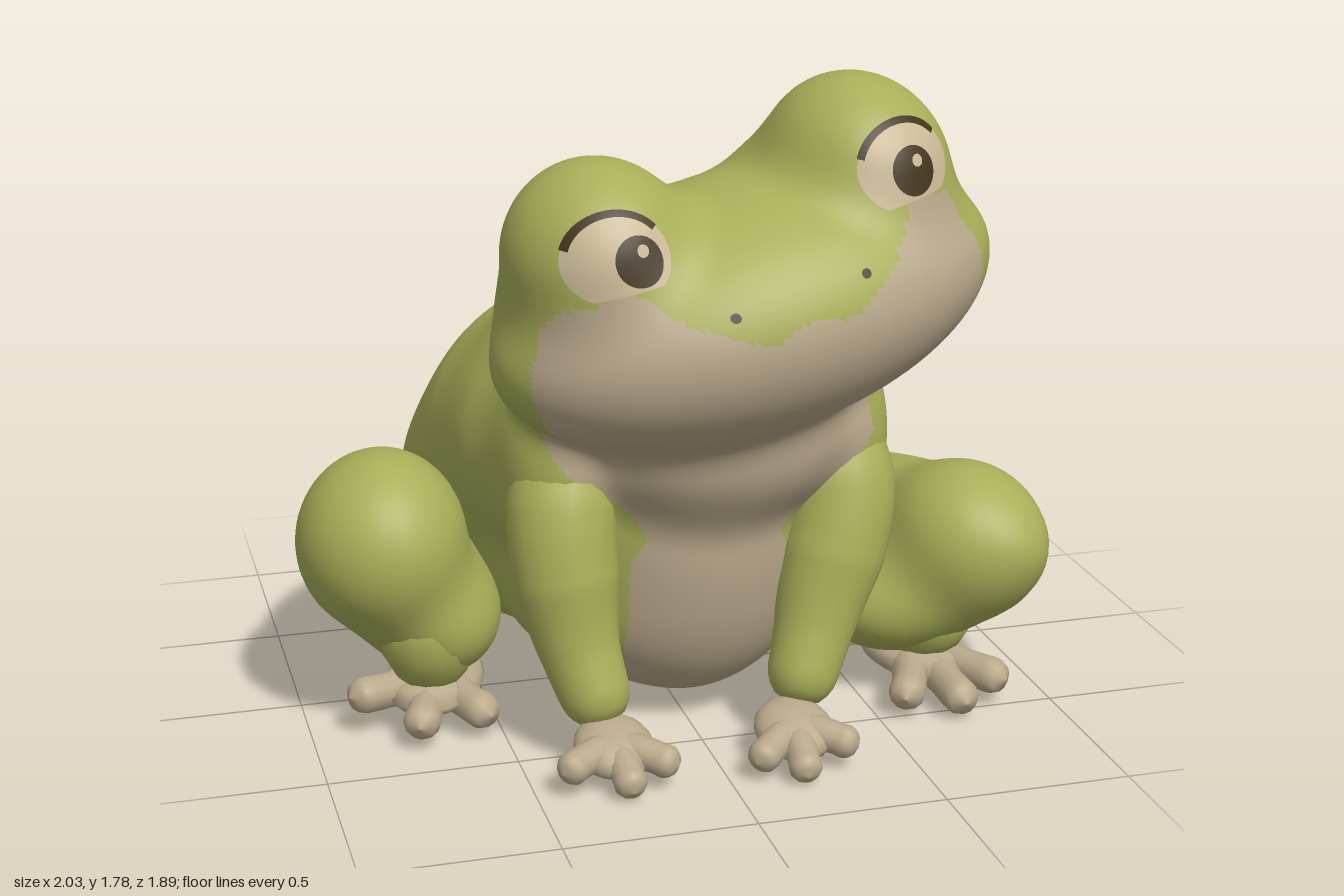
import * as THREE from 'three';
import { mergeVertices } from 'three/addons/utils/BufferGeometryUtils.js';

const V = (x, y, z) => new THREE.Vector3(x, y, z);
const mat = (name, color, side = THREE.FrontSide) =>
  Object.assign(new THREE.MeshStandardMaterial({ color, side }), { name });

// Tilted head frame
const headFrame = new THREE.Matrix4().compose(V(0.1, 1.22, 0.5),
  new THREE.Quaternion().setFromEuler(new THREE.Euler(0, 0.12, 0.22, 'YZX')), V(1, 1, 1));
const headInverse = headFrame.clone().invert();

// Ellipsoid distance field, optionally rotated or placed in a parent frame
function ellipsoid(c, r, rot = [0, 0, 0], frame = null) {
  const m = new THREE.Matrix4().compose(V(...c),
    new THREE.Quaternion().setFromEuler(new THREE.Euler(rot[0], rot[1], rot[2], 'YXZ')), V(1, 1, 1));
  if (frame) m.premultiply(frame);
  m.invert();
  const q = V(), radii = V(...r);
  return (p) => {
    q.copy(p).applyMatrix4(m).divide(radii);
    const k0 = q.length(), k1 = q.divide(radii).length();
    return k1 < 1e-6 ? -Math.min(...r) : k0 * (k0 - 1) / k1;
  };
}

// Smooth union of several fields
const blend = (fields, k) => (p) => {
  let d = fields[0](p);
  for (let i = 1; i < fields.length; i++) {
    const e = fields[i](p), h = Math.max(k - Math.abs(d - e), 0) / k;
    d = Math.min(d, e) - h * h * k * 0.25;
  }
  return d;
};

// Sphere whose vertices are pushed out along rays onto a field's surface
function blobGeometry(field, centre, w, h) {
  let g = new THREE.SphereGeometry(1, w, h);
  g.deleteAttribute('uv');
  g.deleteAttribute('normal');
  g = mergeVertices(g);
  const pos = g.attributes.position, c = V(...centre), dir = V(), p = V();
  for (let i = 0; i < pos.count; i++) {
    dir.fromBufferAttribute(pos, i).normalize();
    let lo = 0, hi = 1.8;
    for (let n = 0; n < 20; n++) {
      const mid = (lo + hi) / 2;
      if (field(p.copy(c).addScaledVector(dir, mid)) < 0) lo = mid; else hi = mid;
    }
    p.copy(c).addScaledVector(dir, lo);
    pos.setXYZ(i, p.x, p.y, p.z);
  }
  g.computeVertexNormals();
  return g;
}

// Sort faces into two material groups by a rule on the face centre
function paint(g, rule) {
  const idx = g.index.array, pos = g.attributes.position, sets = [[], []], p = V(), q = V();
  for (let i = 0; i < idx.length; i += 3) {
    p.set(0, 0, 0);
    for (let j = 0; j < 3; j++) p.add(q.fromBufferAttribute(pos, idx[i + j]));
    sets[rule(p.divideScalar(3)) ? 1 : 0].push(idx[i], idx[i + 1], idx[i + 2]);
  }
  g.setIndex([...sets[0], ...sets[1]]);
  g.addGroup(0, sets[0].length, 0);
  g.addGroup(sets[0].length, sets[1].length, 1);
  return g;
}

// Round-ended tube with a varying radius
function limbGeometry(points, radii, n = 28, sides = 16) {
  const curve = new THREE.CatmullRomCurve3(points.map((p) => V(...p)));
  let g = new THREE.TubeGeometry(curve, n, 1, sides);
  const pos = g.attributes.position, len = curve.getLength(), p = V();
  for (let i = 0; i <= n; i++) {
    const t = i / n, c = curve.getPointAt(t), s = t * (radii.length - 1);
    const a = Math.min(Math.floor(s), radii.length - 2);
    const r = THREE.MathUtils.lerp(radii[a], radii[a + 1], s - a);
    const e = Math.min(1, Math.min(t, 1 - t) * len / r);
    const rad = Math.max(r * Math.sqrt(1 - (1 - e) ** 2), 0.001);
    for (let j = 0; j <= sides; j++) {
      const k = i * (sides + 1) + j;
      p.fromBufferAttribute(pos, k).sub(c).multiplyScalar(rad).add(c);
      pos.setXYZ(k, p.x, p.y, p.z);
    }
  }
  g.deleteAttribute('uv');
  g.deleteAttribute('normal');
  g = mergeVertices(g, 1e-5);
  g.computeVertexNormals();
  return g;
}

// Thin patch laid on the face: polar grid projected backwards onto the field
function decalGeometry(field, at, lift, { r0 = 0, a0 = 0, a1 = Math.PI * 2, rx, ry, floor = -1 }) {
  const nr = 8, na = 36, pts = [], idx = [], p = V();
  for (let i = 0; i <= nr; i++) for (let j = 0; j <= na; j++) {
    const r = r0 + (1 - r0) * i / nr, a = a0 + (a1 - a0) * j / na;
    const x = at[0] + rx * r * Math.cos(a), y = at[1] + ry * r * Math.max(Math.sin(a), floor);
    let z = 0.7;
    for (let n = 0; n < 60; n++) z -= 0.6 * field(p.set(x, y, z).applyMatrix4(headFrame));
    p.set(x, y, z + lift).applyMatrix4(headFrame);
    pts.push(p.x, p.y, p.z);
    if (i < nr && j < na) {
      const k = i * (na + 1) + j, m = k + na + 1;
      idx.push(k, m, m + 1, k, m + 1, k + 1);
    }
  }
  const g = new THREE.BufferGeometry();
  g.setAttribute('position', new THREE.Float32BufferAttribute(pts, 3));
  g.setIndex(idx);
  g.computeVertexNormals();
  return g;
}

export function createModel() {
  const green = mat('skin green', 0xa9ae58), cream = mat('belly cream', 0xbaa98b);
  const eyeCream = mat('eye cream', 0xcbb996, THREE.DoubleSide);
  const dark = mat('dark brown', 0x43351c, THREE.DoubleSide);
  const root = new THREE.Group();
  const add = (name, geo, material, parent = root) => {
    const m = new THREE.Mesh(geo, material);
    m.name = name;
    parent.add(m);
    return m;
  };
  const group = (name) => {
    const g = new THREE.Group();
    g.name = name;
    root.add(g);
    return g;
  };

  // Head and torso as one smooth skin
  const skin = blend([
    ellipsoid([-0.015, 0.49, -0.38], [0.62, 0.475, 0.56]), // rump
    ellipsoid([-0.01, 0.68, -0.2], [0.59, 0.46, 0.55], [-0.25, 0, 0]), // back
    ellipsoid([0, 0.76, 0.06], [0.565, 0.46, 0.42]), // ribs
    ellipsoid([0.02, 0.98, 0.06], [0.44, 0.3, 0.42], [-0.45, 0, 0]), // nape
    ellipsoid([0, 0.36, 0.05], [0.45, 0.31, 0.4]), // belly
    ellipsoid([0.03, 0.58, 0.24], [0.35, 0.5, 0.3]), // chest
    ellipsoid([0.4, 0.8, 0.32], [0.15, 0.3, 0.2]), // shoulders
    ellipsoid([-0.35, 0.78, 0.32], [0.15, 0.3, 0.2]),
    ellipsoid([0.07, 1.13, 0.28], [0.46, 0.28, 0.26], [0, 0, 0.15]), // neck
    ellipsoid([0.06, 0.87, 0.45], [0.34, 0.25, 0.21]), // throat
    ellipsoid([0, 0, 0], [0.675, 0.325, 0.445], [0, 0, 0], headFrame), // face
    ellipsoid([-0.355, 0.235, 0.02], [0.24, 0.255, 0.27], [0, 0, 0], headFrame), // brows
    ellipsoid([0.355, 0.235, 0.02], [0.24, 0.265, 0.28], [0, 0, 0], headFrame),
    ellipsoid([-0.3, 0.08, -0.14], [0.27, 0.25, 0.23], [0, 0, 0], headFrame), // back of head
    ellipsoid([0.3, 0.1, -0.14], [0.27, 0.25, 0.25], [0, 0, 0], headFrame),
  ], 0.09);
  const q = V(), step = THREE.MathUtils.smoothstep;
  const isCream = (p) => {
    q.copy(p).applyMatrix4(headInverse);
    const ax = Math.abs(q.x);
    // Lip line: low in the middle, high over the cheeks
    const lip = 0.05 + 0.17 * step(ax, 0.14, 0.42) - 0.12 * step(ax, 0.5, 0.64) + 0.012 * Math.cos(q.x * 32);
    if (p.y > 0.95) return q.y < lip && q.z > 0.15 + 0.1 * step(q.x, -0.5, 0.5) - 0.07 * step(-q.y, 0, 0.25);
    if (p.y > 0.14) return p.z > 0.3 + 0.2 * step(p.y, 0.3, 0.6) && Math.abs(p.x - 0.03) < 0.22 + 0.26 * step(p.y, 0.55, 0.95);
    return (p.x / 0.3) ** 2 + (p.z / 0.46) ** 2 < 1;
  };
  add('headAndBody', paint(blobGeometry(skin, [0.04, 0.98, 0.12], 220, 160), isCream), [green, cream]);

  // Eyes and nostrils
  const eyes = [
    { name: 'rightEye', x: -0.385, px: -0.34, s: -1 },
    { name: 'leftEye', x: 0.385, px: 0.395, s: 1 },
  ];
  for (const { name, x, px, s } of eyes) {
    const g = group(name);
    const patch = (part, at, lift, m, o) => add(part, decalGeometry(skin, at, lift, o), m, g);
    patch('eyeWhite', [x, 0.3], 0.004, eyeCream, { rx: 0.13, ry: 0.105, floor: -0.75 });
    patch('upperLid', [x, 0.3], 0.006, dark,
      { rx: 0.132, ry: 0.115, r0: 0.87, a0: 0.15 * Math.PI, a1: 0.85 * Math.PI });
    patch('pupil', [px, 0.29], 0.007, dark, { rx: 0.06, ry: 0.06 });
    patch('glint', [px + 0.015, 0.312], 0.009, eyeCream, { rx: 0.015, ry: 0.015 });
    patch('nostril', [s * 0.175, 0.12], 0.004, dark, { rx: 0.013, ry: 0.011 });
  }

  // Folded hind legs (thigh, knee, hip, calf), the right knee raised higher
  const legs = [
    { name: 'leftHindLeg', centre: [0.72, 0.38, 0.12], parts: [
      [[0.75, 0.4, 0.08], [0.19, 0.19, 0.5], [-0.15, 0.3, 0]], [[0.79, 0.44, 0.34], [0.2, 0.215, 0.21]],
      [[0.57, 0.3, -0.2], [0.26, 0.2, 0.46], [-0.1, 0.6, 0]], [[0.62, 0.27, 0.2], [0.22, 0.16, 0.25]]],
      shin: [[0.74, 0.34, 0.34], [0.7, 0.23, 0.3], [0.68, 0.11, 0.2]],
      heel: [0.67, 0.1, 0.05], sole: [0.69, 0.1, 0.24], yaw: 0.1,
      toes: [[0.86, 0.095, 0.52], [0.72, 0.07, 0.59], [0.56, 0.08, 0.54]] },
    { name: 'rightHindLeg', centre: [-0.72, 0.42, -0.08], parts: [
      [[-0.74, 0.43, -0.16], [0.2, 0.22, 0.5], [-0.3, -0.27, 0]], [[-0.775, 0.53, 0.15], [0.215, 0.245, 0.25]],
      [[-0.56, 0.3, -0.4], [0.26, 0.22, 0.42], [-0.2, -0.6, 0]], [[-0.64, 0.3, 0.08], [0.18, 0.17, 0.25]]],
      shin: [[-0.72, 0.42, 0.18], [-0.68, 0.27, 0.2], [-0.65, 0.12, 0.12]],
      heel: [-0.59, 0.11, -0.06], sole: [-0.65, 0.11, 0.12], yaw: -0.3,
      toes: [[-0.9, 0.13, 0.24], [-0.74, 0.09, 0.4], [-0.54, 0.09, 0.37]] },
  ];
  for (const l of legs) {
    const g = group(l.name);
    add('thigh', blobGeometry(blend(l.parts.map((e) => ellipsoid(...e)), 0.12), l.centre, 64, 48), green, g);
    add('ankle', limbGeometry(l.shin, [0.15, 0.13, 0.09]), green, g);
    add('sole', blobGeometry(ellipsoid(l.sole, [0.135, 0.055, 0.23], [0, l.yaw, 0]), l.sole, 28, 18), cream, g);
    for (const t of l.toes) {
      const mid = l.sole.map((v, i) => v * 0.6 + t[i] * 0.4);
      add('toe', limbGeometry([l.heel, mid, t], [0.06, 0.055, 0.055, 0.048, 0.052], 28, 12), cream, g);
    }
  }

  // Forelegs planted under the chest
  const arms = [
    { name: 'leftForeleg', path: [[0.37, 0.88, 0.34], [0.4, 0.66, 0.43], [0.32, 0.37, 0.5], [0.23, 0.12, 0.58]],
      palm: [0.2, 0.1, 0.67], tips: [[0.06, 0.07, 0.79], [0.18, 0.045, 0.85], [0.34, 0.08, 0.78]] },
    { name: 'rightForeleg', path: [[-0.31, 0.86, 0.33], [-0.36, 0.65, 0.42], [-0.34, 0.36, 0.48], [-0.28, 0.12, 0.57]],
      palm: [-0.28, 0.1, 0.65], tips: [[-0.44, 0.085, 0.75], [-0.27, 0.045, 0.82], [-0.14, 0.08, 0.77]] },
  ];
  for (const a of arms) {
    const g = group(a.name);
    add('foreleg', limbGeometry(a.path, [0.12, 0.145, 0.14, 0.105, 0.085], 36, 20), green, g);
    add('palm', blobGeometry(ellipsoid(a.palm, [0.105, 0.055, 0.12], [0.25, 0, 0]), a.palm, 24, 16), cream, g);
    for (const t of a.tips) {
      const mid = a.palm.map((v, i) => (v + t[i]) / 2 + (i === 1 ? 0.008 : 0));
      add('finger', limbGeometry([a.palm, mid, t], [0.05, 0.046, 0.042, 0.048], 24, 12), cream, g);
    }
  }
  return root;
}
